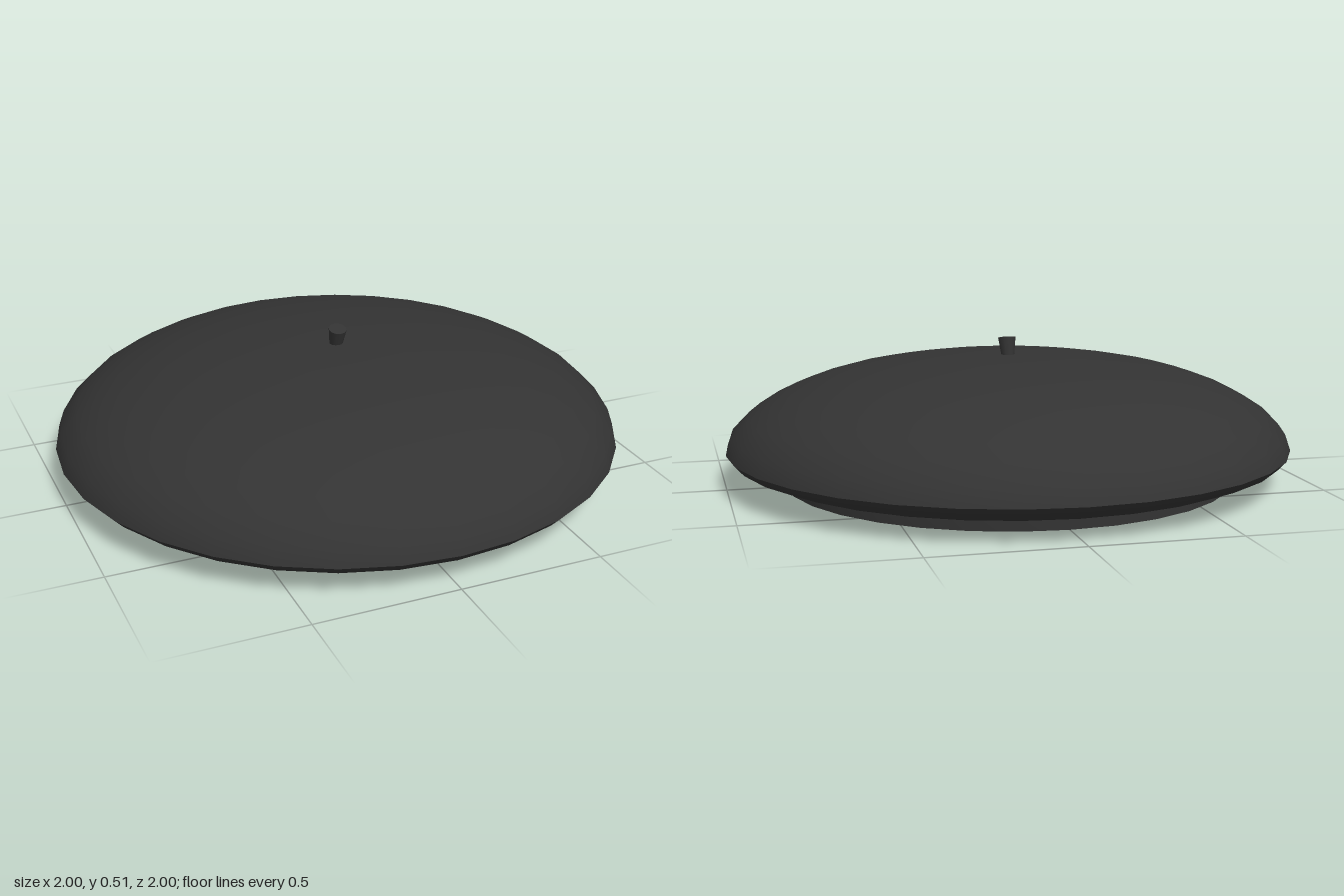
import * as THREE from 'three';
import { toCreasedNormals } from 'three/addons/utils/BufferGeometryUtils.js';

const SEGMENTS = 32;
const cloth = new THREE.MeshStandardMaterial({ color: 0x333333, side: THREE.DoubleSide });

// Revolves a [radius, height] profile around the y axis
function revolve(name, profile) {
  const points = profile.map(([r, y]) => new THREE.Vector2(r, y));
  const mesh = new THREE.Mesh(new THREE.LatheGeometry(points, SEGMENTS), cloth);
  mesh.name = name;
  return mesh;
}

export function createModel() {
  const beret = new THREE.Group();
  beret.name = 'beret';

  // Domed top, open below
  const dome = [
    [1, 0.12], [0.98, 0.178], [0.92, 0.24], [0.85, 0.285], [0.78, 0.32], [0.69, 0.354],
    [0.6, 0.38], [0.5, 0.4], [0.4, 0.416], [0.25, 0.433], [0.12, 0.439], [0, 0.44],
  ];
  const crown = revolve('crown', dome);

  // Lining just inside the dome
  const lining = revolve('lining', dome.map(([r, y]) => [r * 0.985, y - 0.015]));

  // Lower panel, curling in from the rim to the head opening
  const underside = revolve('underside', [
    [0.76, 0.036], [0.8, 0.04], [0.9, 0.06], [0.97, 0.088], [1, 0.12],
  ]);

  // Band around the head opening
  const band = revolve('headband', [[0.76, 0.04], [0.76, 0], [0.8, 0], [0.8, 0.042]]);
  band.geometry = toCreasedNormals(band.geometry, 0.6);

  // Small flared stalk, leaning forward
  const stalk = new THREE.Mesh(new THREE.CylinderGeometry(0.032, 0.023, 0.066, 12), cloth);
  stalk.name = 'stalk';
  stalk.position.set(0, 0.466, 0.007);
  stalk.rotation.x = 0.25;

  beret.add(crown, lining, underside, band, stalk);
  return beret;
}
